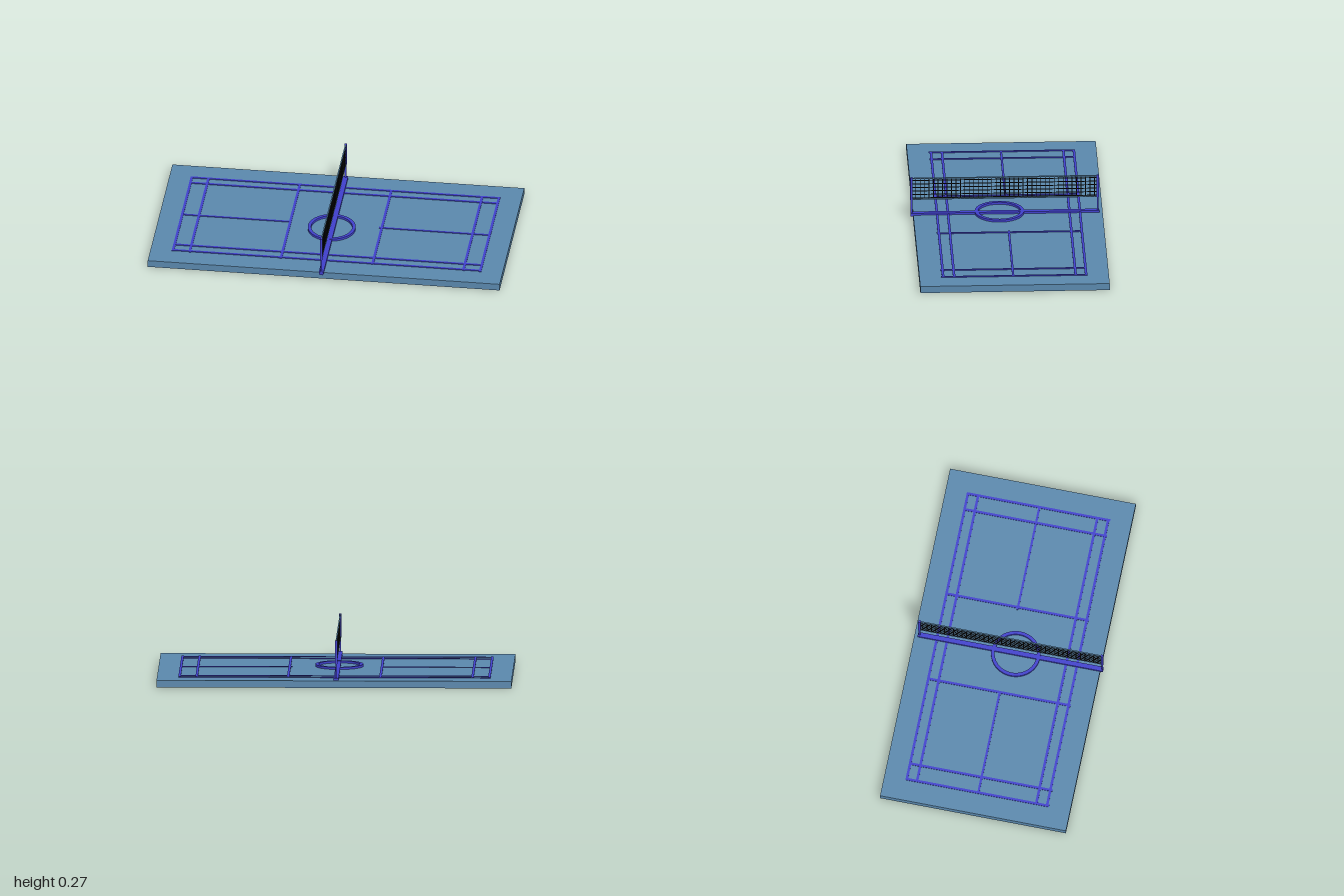
import * as THREE from 'three';

const material = (color) => new THREE.MeshStandardMaterial({ color, flatShading: true });

export function createModel() {
  const model = new THREE.Group();
  const floorBlue = material(0x5a88ad);
  const lineBlue = material(0x4040cc);
  const netBlack = material(0x111111);

  // Box given by its low and high limits on each axis
  const box = (name, mat, [x0, x1], [y0, y1], [z0, z1], parent = model) => {
    const mesh = new THREE.Mesh(new THREE.BoxGeometry(x1 - x0, y1 - y0, z1 - z0), mat);
    mesh.position.set((x0 + x1) / 2, (y0 + y1) / 2, (z0 + z1) / 2);
    mesh.name = name;
    parent.add(mesh);
    return mesh;
  };
  const around = (c, width) => [c - width / 2, c + width / 2];

  // Floor slab
  box('courtFloor', floorBlue, [-1, 1], [0, 0.04], [-0.546, 0.522]);

  // Court markings
  const lines = new THREE.Group();
  lines.name = 'courtLines';
  model.add(lines);
  const lineY = [0.036, 0.0435];
  const w = 0.014;
  for (const x of [-0.873, -0.778, -0.259, 0.261, 0.777, 0.873])
    box('crossLine', lineBlue, around(x, w), lineY, [-0.422, 0.4], lines);
  for (const z of [-0.418, -0.359, 0.326, 0.388])
    box('sideLine', lineBlue, [-0.88, 0.88], lineY, around(z, w), lines);
  for (const span of [[-0.873, -0.259], [0.245, 0.873]])
    box('centreLine', lineBlue, span, lineY, around(-0.007, 0.012), lines);

  // Raised centre ring
  const ringShape = new THREE.Shape().absarc(0, 0, 0.135, 0, Math.PI * 2);
  ringShape.holes.push(new THREE.Path().absarc(0, 0, 0.116, 0, Math.PI * 2, true));
  const ring = new THREE.Mesh(
    new THREE.ExtrudeGeometry(ringShape, { depth: 0.013, bevelEnabled: false, curveSegments: 24 }),
    lineBlue
  );
  ring.name = 'centreRing';
  ring.rotation.x = -Math.PI / 2;
  ring.scale.y = 1.03;
  ring.position.set(-0.018, 0.04, 0.036);
  model.add(ring);

  // Floor bar below the net
  const netX = -0.012;
  box('netFloorBar', lineBlue, around(netX, 0.027), [0.037, 0.052], [-0.527, 0.538]);

  // Posts: slim leg, thicker sleeve beside the net
  for (const z of [-0.518, 0.532]) {
    const post = new THREE.Group();
    post.name = 'netPost';
    box('postLeg', lineBlue, around(netX, 0.009), [0.032, 0.14], around(z, 0.009), post);
    box('postSleeve', lineBlue, around(netX, 0.013), [0.133, 0.266], around(z, 0.014), post);
    model.add(post);
  }
  box('postFoot', lineBlue, around(netX, 0.02), [0.031, 0.045], [0.522, 0.538]);

  // Net: tapes at top and bottom, strands between
  const net = new THREE.Group();
  net.name = 'net';
  model.add(net);
  const netZ = [-0.518, 0.532];
  for (const y of [0.261, 0.134])
    box('netTape', floorBlue, around(netX, 0.007), around(y, 0.006), netZ, net);
  for (let i = 0; i < 6; i++)
    box('netRow', netBlack, around(netX, 0.004), around(0.141 + i * 0.0215, 0.004), netZ, net);
  for (let i = 0; i < 41; i++)
    box('netStrand', netBlack, around(netX, 0.004), [0.134, 0.258], around(-0.5 + i * 0.0252, 0.004), net);

  return model;
}
